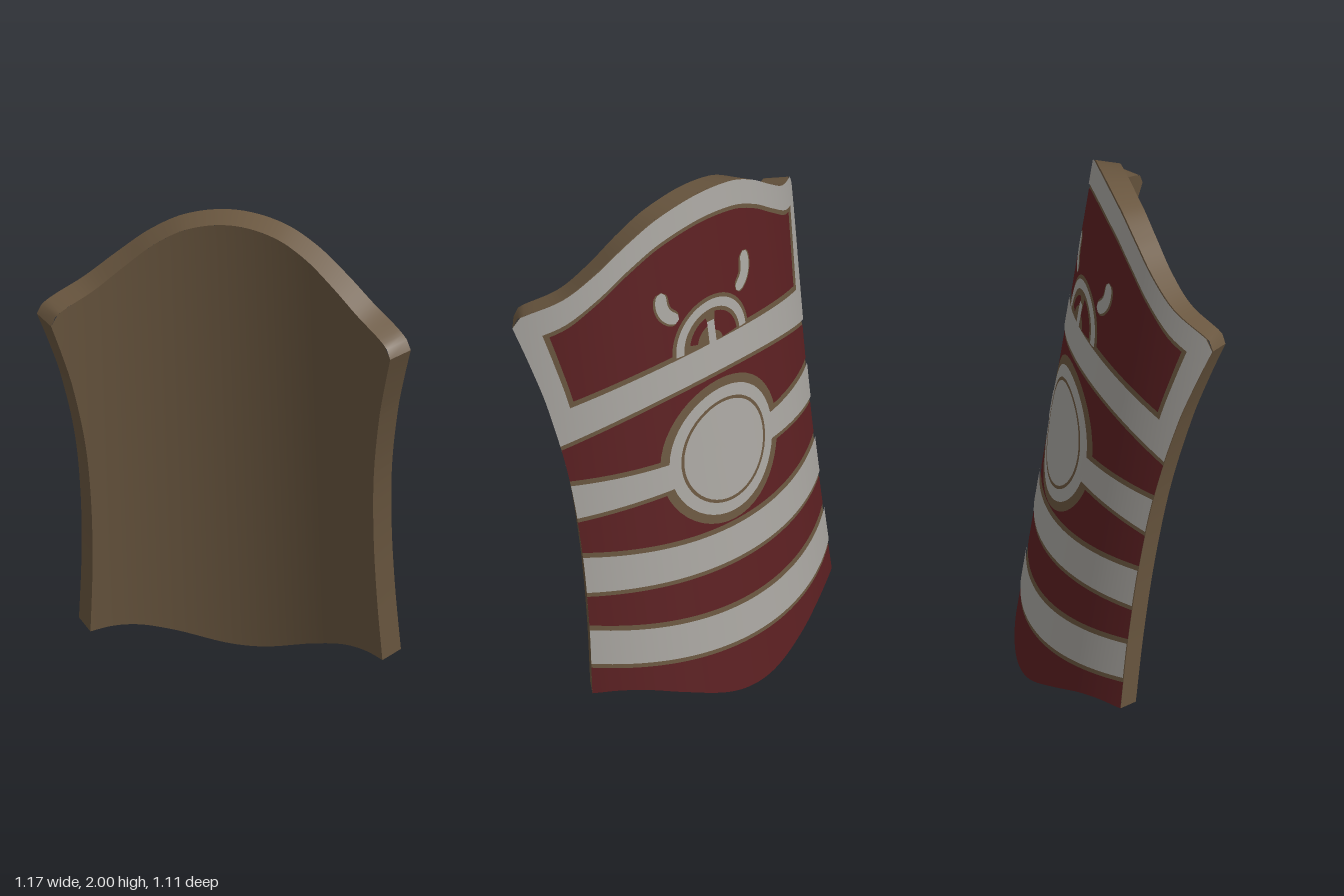
import * as THREE from 'three';
import { mergeGeometries } from 'three/addons/utils/BufferGeometryUtils.js';

const R = 0.967;          // radius of the curved face
const THICK = 0.09;
const GAP = 0.018;        // bare wood left around the paint

// Smooth lookup through a few [x, y] points
function lookup(pts) {
  const slope = (i) => {
    const a = pts[Math.max(i - 1, 0)], b = pts[Math.min(i + 1, pts.length - 1)];
    return (b[1] - a[1]) / (b[0] - a[0]);
  };
  return (x) => {
    if (x <= pts[0][0]) return pts[0][1];
    if (x >= pts[pts.length - 1][0]) return pts[pts.length - 1][1];
    let i = 0;
    while (x > pts[i + 1][0]) i++;
    const h = pts[i + 1][0] - pts[i][0], t = (x - pts[i][0]) / h;
    const t2 = t * t, t3 = t2 * t;
    return pts[i][1] * (2 * t3 - 3 * t2 + 1) + slope(i) * h * (t3 - 2 * t2 + t)
      + pts[i + 1][1] * (3 * t2 - 2 * t3) + slope(i + 1) * h * (t3 - t2);
  };
}

// Outline: half width by height, top and bottom edge by side fraction s
const halfWidth = lookup([[0.17, 0.593], [0.45, 0.578], [0.75, 0.573], [1.05, 0.585], [1.35, 0.622], [1.52, 0.654], [1.69, 0.69]]);
const topHalf = lookup([[-0.26, 2], [0, 2.024], [0.26, 1.997], [0.45, 1.934], [0.62, 1.85], [0.78, 1.775], [0.95, 1.73], [0.985, 1.712], [1, 1.685]]);
const bottomHalf = lookup([[-0.2, 0.03], [0, 0.014], [0.2, 0.03], [0.5, 0.095], [0.7, 0.14], [0.86, 0.163], [1, 0.17]]);
const top = (s) => topHalf(Math.abs(s));
const bottom = (s) => bottomHalf(Math.abs(s));

// Grid of points: fn(a, b) gives [across, up, lift] wrapped on the cylinder
function sheet(fn, na, nb) {
  const pos = [], index = [];
  for (let j = 0; j <= nb; j++) {
    for (let i = 0; i <= na; i++) {
      const [u, v, lift] = fn(i / na, j / nb);
      const ang = Math.asin(u / R), r = R + lift;
      pos.push(r * Math.sin(ang), v, r * Math.cos(ang) - R);
      if (i < na && j < nb) {
        const k = j * (na + 1) + i, m = k + na + 1;
        index.push(k, k + 1, m, k + 1, m + 1, m);
      }
    }
  }
  const g = new THREE.BufferGeometry();
  g.setAttribute('position', new THREE.Float32BufferAttribute(pos, 3));
  g.setIndex(index);
  g.computeVertexNormals();
  return g;
}

const lerp = THREE.MathUtils.lerp;
const at = (s, v, lift) => [s * halfWidth(v), v, lift];

// Area between two height rules over a range of s
const area = (s0, s1, low, high, lift) => sheet((a, b) => {
  const s = lerp(s0, s1, a);
  return at(s, lerp(low(s), high(s), b), lift);
}, 56, 24);

// Ring or disc sector
const ring = (v0, r0, r1, lift, a0 = 0, a1 = Math.PI * 2) => sheet((a, b) => {
  const r = lerp(r0, r1, a), t = lerp(a0, a1, b);
  return [r * Math.cos(t), v0 + r * Math.sin(t), lift];
}, 8, 48);

// Painted stroke with round ends along a curve
const stroke = (curve, width, lift) => sheet((a, b) => {
  const p = curve.getPoint(b), t = curve.getTangent(b);
  const w = (a - 0.5) * width * Math.pow(Math.max(0, 1 - Math.pow(2 * b - 1, 6)), 0.5);
  return [p.x + t.y * w, p.y - t.x * w, lift];
}, 4, 20);

export function createModel() {
  const model = new THREE.Group();
  model.name = 'shield';
  const mat = (name, color) => {
    const m = new THREE.MeshStandardMaterial({ color });
    m.name = name;
    return m;
  };
  const wood = mat('brown wood', 0x69563f);
  const red = mat('dark red paint', 0x5a1f21);
  const white = mat('grey white paint', 0xa6a39e);
  const add = (name, geometry, material) => {
    const mesh = new THREE.Mesh(geometry, material);
    mesh.name = name;
    model.add(mesh);
  };

  // Wooden body: two faces and four rims
  const side = (s, flip) => sheet((a, b) =>
    at(s, lerp(bottom(1), top(1), a), -THICK * (flip ? b : 1 - b)), 40, 1);
  add('woodenBody', mergeGeometries([
    area(-1, 1, bottom, top, 0),
    area(1, -1, bottom, top, -THICK),
    sheet((a, b) => at(2 * a - 1, top(2 * a - 1), -THICK * b), 80, 1),
    sheet((a, b) => at(2 * a - 1, bottom(2 * a - 1), -THICK * (1 - b)), 80, 1),
    side(1, false), side(-1, true),
  ]), wood);

  // White bands: height at the centre and change toward the sides
  const rule = (c, d) => (s) => c + d * s * s;
  const bands = [
    { name: 'upperBand', low: rule(1.3, -0.115), high: rule(1.42, -0.105) },
    { name: 'middleBand', low: rule(0.915, -0.03), high: rule(1.01, 0.01) },
    { name: 'lowerBand', low: rule(0.54, 0.04), high: rule(0.67, 0.054) },
    { name: 'bottomBand', low: rule(0.215, 0.077), high: rule(0.351, 0.077) },
  ];
  for (const b of bands) add(b.name, area(-1, 1, b.low, b.high, 0.006), white);

  // Red fields below each band
  bands.forEach((b, i) => {
    const next = bands[i + 1];
    const low = next ? (s) => next.high(s) + GAP : bottom;
    add('redField', area(-1, 1, low, (s) => b.low(s) - GAP, 0.002), red);
  });

  // Upper field with its white border
  const borderLow = (s) => top(s) - 0.1;
  add('topBorder', area(-1, 1, borderLow, top, 0.006), white);
  for (const k of [-1, 1]) {
    add('sideBorder', area(k < 0 ? -1 : 0.9, k < 0 ? -0.9 : 1, bands[0].high, borderLow, 0.006), white);
  }
  add('upperRedField', area(-0.875, 0.875, (s) => bands[0].high(s) + GAP, (s) => borderLow(s) - GAP, 0.002), red);

  // Central disc
  add('discOutline', ring(0.98, 0, 0.285, 0.004), wood);
  add('centralDisc', ring(0.98, 0, 0.25, 0.006), white);
  add('discLine', ring(0.98, 0.192, 0.204, 0.008), wood);

  // Arched emblem standing on the upper band
  const base = 1.42;
  add('archOutline', ring(base, 0, 0.185, 0.004, 0, Math.PI), wood);
  add('arch', ring(base, 0.135, 0.17, 0.006, 0, Math.PI), white);
  add('archInside', ring(base, 0.045, 0.12, 0.006, 0.05, 1.4), red);
  add('archInside', ring(base, 0.075, 0.11, 0.006, 1.8, 2.9), red);
  add('archBar', sheet((a, b) => [lerp(-0.022, 0.012, a), base + 0.09 * b, 0.008], 2, 4), white);

  // Two curved marks beside the arch
  for (const k of [-1, 1]) {
    const mark = new THREE.QuadraticBezierCurve(
      new THREE.Vector2(k * 0.2, 1.7), new THREE.Vector2(k * 0.225, 1.6), new THREE.Vector2(k * 0.14, 1.57));
    add('markOutline', stroke(mark, 0.065, 0.004), wood);
    add('curvedMark', stroke(mark, 0.048, 0.006), white);
  }

  // Lean back and turn into place
  const turn = Math.PI + 0.738;
  model.rotation.set(-0.157, turn, 0, 'YXZ');
  model.position.set(0.453 * Math.sin(turn), 0, 0.453 * Math.cos(turn));
  const root = new THREE.Group();
  root.name = 'curvedShield';
  root.add(model);
  return root;
}
